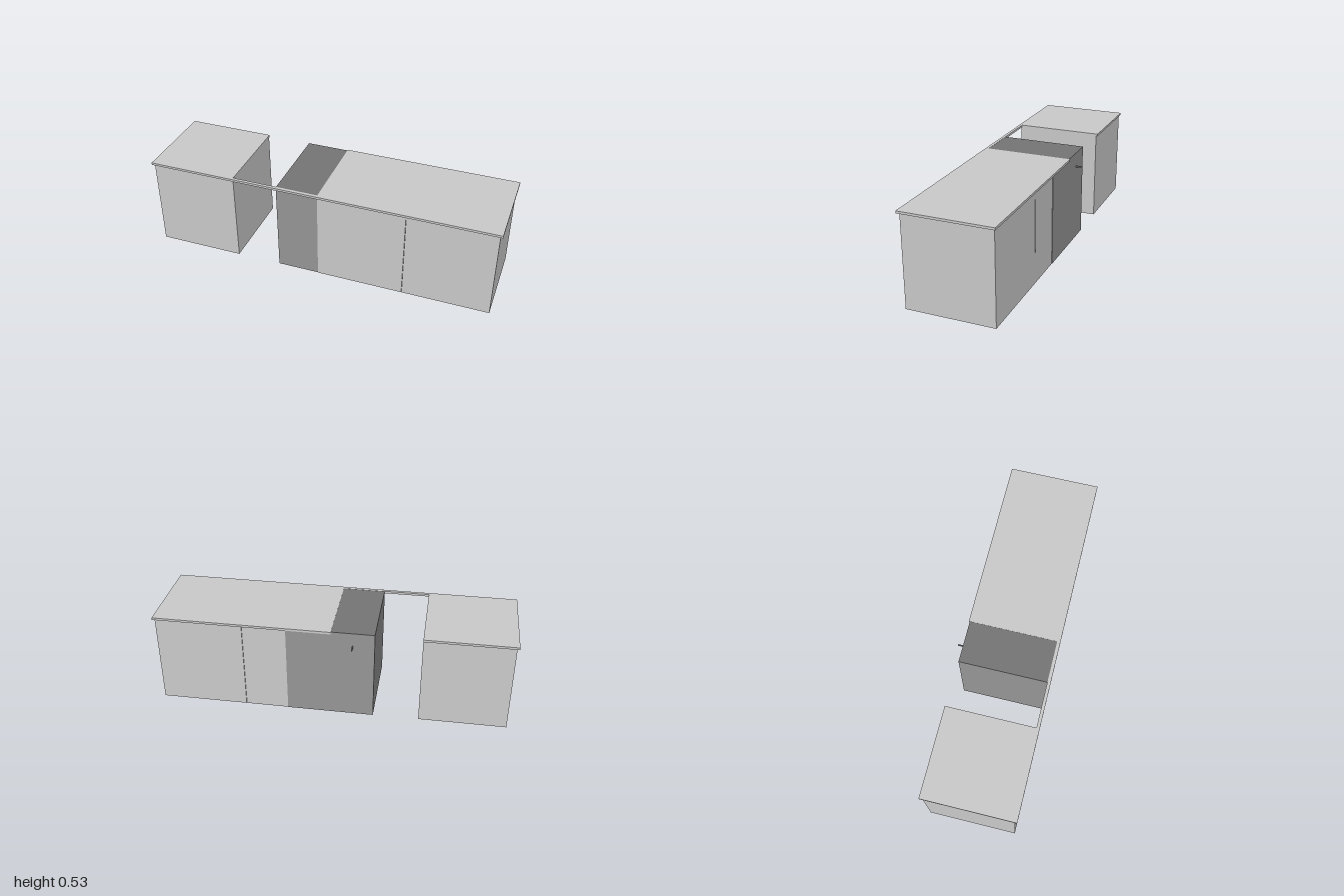
import * as THREE from 'three';

export function createModel() {
  const group = new THREE.Group();
  group.name = 'kitchenCounter';
  const grey = new THREE.MeshStandardMaterial({ color: 0xcccccc });
  const steel = new THREE.MeshStandardMaterial({ color: 0x979797 });
  const darkSteel = new THREE.MeshStandardMaterial({ color: 0x767676 });

  // Box given by its extents on each axis
  function box(name, [x0, x1], [y0, y1], [z0, z1], material) {
    const mesh = new THREE.Mesh(new THREE.BoxGeometry(x1 - x0, y1 - y0, z1 - z0), material);
    mesh.position.set((x0 + x1) / 2, (y0 + y1) / 2, (z0 + z1) / 2);
    mesh.name = name;
    group.add(mesh);
    return mesh;
  }

  // Three equal cabinets, one standing apart
  const cabinets = { rightCabinet: [-0.988, -0.497], middleCabinet: [0, 0.494], leftCabinet: [0.496, 0.987] };
  for (const [name, span] of Object.entries(cabinets)) {
    box(name, span, [0, 0.52], [-0.232, 0.262], grey);
  }

  // Worktop: one slab with a notch, leaving a narrow strip along the front
  const outline = [[-1, 0.275], [1, 0.275], [1, -0.241], [0, -0.241], [0, 0.257], [-0.497, 0.257], [-0.497, -0.241], [-1, -0.241]];
  const shape = new THREE.Shape(outline.map(([x, z]) => new THREE.Vector2(x, -z)));
  const slab = new THREE.ExtrudeGeometry(shape, { depth: 0.013, bevelEnabled: false });
  slab.rotateX(-Math.PI / 2);
  const worktop = new THREE.Mesh(slab, grey);
  worktop.position.y = 0.52;
  worktop.name = 'worktop';
  group.add(worktop);

  // Appliance partly slid into the middle cabinet
  const span = [-0.24, 0.25];
  box('applianceBody', span, [0.001, 0.53], [-0.235, 0.261], steel);
  box('applianceTop', span, [0.53, 0.532], [-0.235, 0.261], darkSteel);

  // Small peg handle on the appliance's back
  box('applianceHandle', [-0.123, -0.117], [0.446, 0.454], [-0.275, -0.234], darkSteel);

  return group;
}
